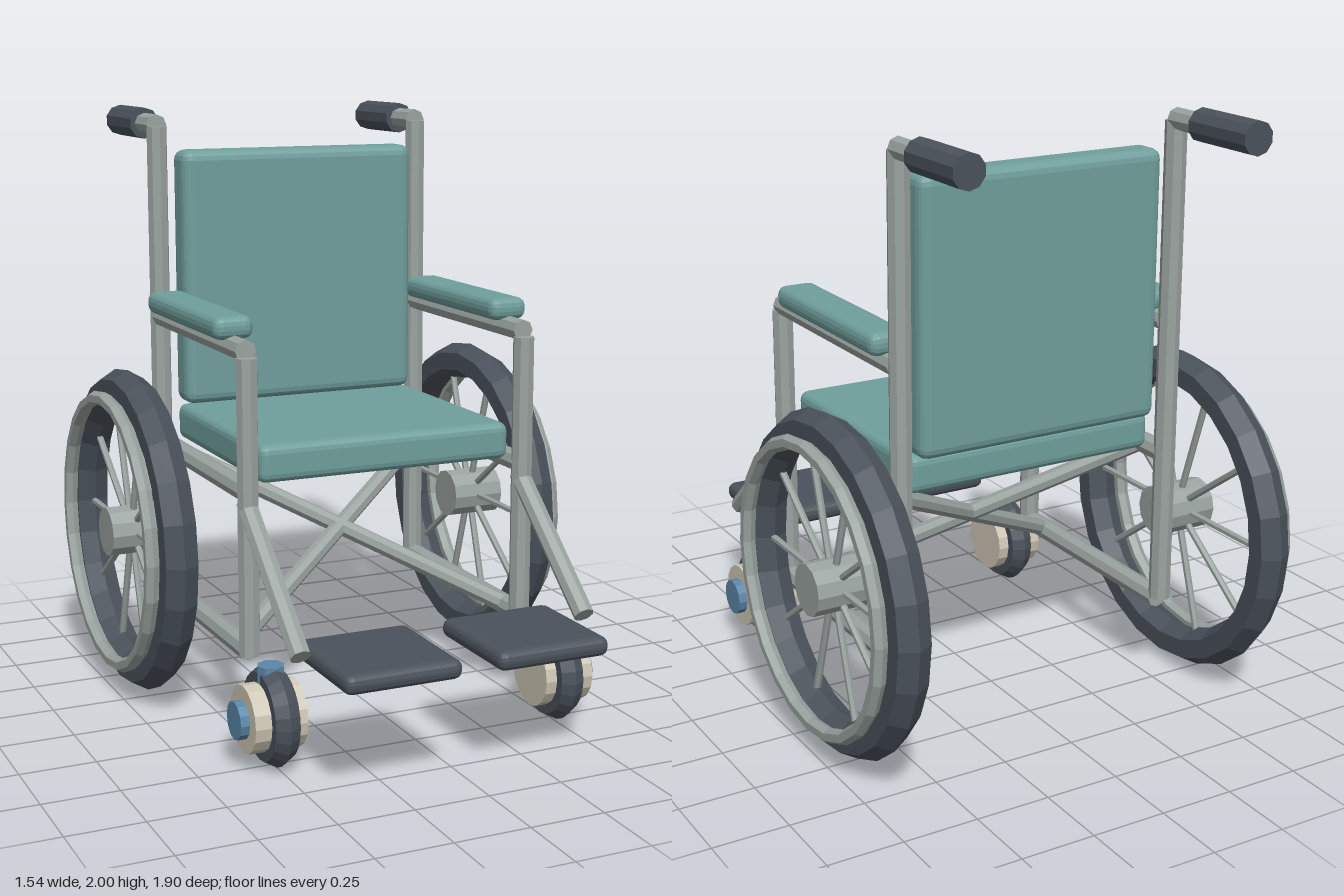
import * as THREE from 'three';
import { RoundedBoxGeometry } from 'three/addons/geometries/RoundedBoxGeometry.js';

const mat = (color) => new THREE.MeshStandardMaterial({ color, flatShading: true });

export function createModel() {
  const model = new THREE.Group();
  model.name = 'wheelchair';
  const metal = mat(0x9aa3a0), fabric = mat(0x6f9e9b), rubber = mat(0x4a525b);
  const cream = mat(0xd0c8b6), blue = mat(0x5b87a8);

  const add = (parent, name, geometry, material) => {
    const mesh = new THREE.Mesh(geometry, material);
    mesh.name = name;
    parent.add(mesh);
    return mesh;
  };

  // Straight tube between two points
  const tube = (parent, name, a, b, r = 0.036, material = metal, sides = 8) => {
    const start = new THREE.Vector3(...a), end = new THREE.Vector3(...b);
    const dir = end.clone().sub(start);
    const mesh = add(parent, name, new THREE.CylinderGeometry(r, r, dir.length(), sides), material);
    mesh.position.copy(start).add(end).multiplyScalar(0.5);
    mesh.quaternion.setFromUnitVectors(new THREE.Vector3(0, 1, 0), dir.normalize());
    return mesh;
  };

  // Padded block given by its minimum and maximum corners
  const pad = (parent, name, min, max, r, material = fabric) => {
    const size = max.map((v, i) => v - min[i]);
    const mesh = add(parent, name, new RoundedBoxGeometry(...size, 2, r), material);
    mesh.position.set(...max.map((v, i) => (v + min[i]) / 2));
    return mesh;
  };

  // Ring standing in the YZ plane, six-sided section
  const ring = (parent, name, x, y, z, radius, r, material, segments = 24) => {
    const mesh = add(parent, name, new THREE.TorusGeometry(radius, r, 6, segments).rotateY(Math.PI / 2), material);
    mesh.position.set(x, y, z);
    return mesh;
  };

  // Seat and backrest
  pad(model, 'seat', [-0.45, 0.855, -0.5], [0.45, 0.98, 0.29], 0.03);
  pad(model, 'backrest', [-0.435, 0.98, -0.555], [0.435, 1.865, -0.43], 0.035);

  for (const s of [1, -1]) {
    const side = new THREE.Group();
    side.name = s > 0 ? 'leftSide' : 'rightSide';
    model.add(side);
    const x = 0.495 * s;

    // Frame
    tube(side, 'rearPost', [x, 0.32, -0.53], [x, 1.945, -0.53]);
    tube(side, 'frontPost', [x, 0.3, 0.295], [x, 1.27, 0.295]);
    tube(side, 'armRail', [x, 1.29, 0.29], [x, 1.29, -0.51]);
    tube(side, 'seatRail', [x, 0.84, 0.29], [x, 0.84, -0.52]);
    tube(side, 'lowerRail', [x, 0.315, 0.29], [x, 0.315, -0.52]);
    tube(side, 'crossBrace', [x, 0.315, 0.2], [-x, 0.84, -0.4], 0.03);
    tube(side, 'footrestHanger', [x, 0.8, 0.28], [x, 0.425, 0.715], 0.034);

    // Armrest and push handle
    pad(side, 'armrest', [x - 0.068, 1.31, -0.48], [x + 0.068, 1.385, 0.2], 0.03);
    tube(side, 'handleTube', [x, 1.95, -0.53], [x, 1.95, -0.7]);
    tube(side, 'handleGrip', [x, 1.95, -0.66], [x, 1.95, -0.935], 0.054, rubber, 10);

    // Footplate
    pad(side, 'footplate', [0.255 * s - 0.195, 0.365, 0.55], [0.255 * s + 0.195, 0.428, 0.95], 0.028, rubber);

    // Rear wheel
    const wheel = new THREE.Group();
    wheel.name = 'rearWheel';
    side.add(wheel);
    const wx = 0.663 * s, wy = 0.57, wz = -0.39;
    ring(wheel, 'tire', wx, wy, wz, 0.496, 0.064, rubber);
    ring(wheel, 'pushRim', 0.746 * s, wy, wz, 0.465, 0.025, metal);
    tube(wheel, 'hub', [0.565 * s, wy, wz], [0.755 * s, wy, wz], 0.086, metal, 12);
    for (let i = 0; i < 10; i++) {
      const a = (i * Math.PI) / 5, c = Math.cos(a), d = Math.sin(a);
      tube(wheel, 'spoke', [wx, wy + 0.05 * d, wz + 0.05 * c],
        [wx, wy + 0.46 * d, wz + 0.46 * c], 0.012, metal, 6);
    }

    // Front caster
    const caster = new THREE.Group();
    caster.name = 'caster';
    side.add(caster);
    const cx = 0.505 * s, cy = 0.17, cz = 0.5;
    ring(caster, 'casterTire', cx, cy, cz, 0.118, 0.047, rubber);
    tube(caster, 'casterHub', [0.425 * s, cy, cz], [0.6 * s, cy, cz], 0.11, cream, 16);
    tube(caster, 'casterAxle', [0.53 * s, cy, cz], [0.63 * s, cy, cz], 0.062, blue, 12);
    tube(caster, 'casterStem', [cx, 0.25, cz], [cx, 0.335, cz], 0.045, blue);
  }
  return model;
}
